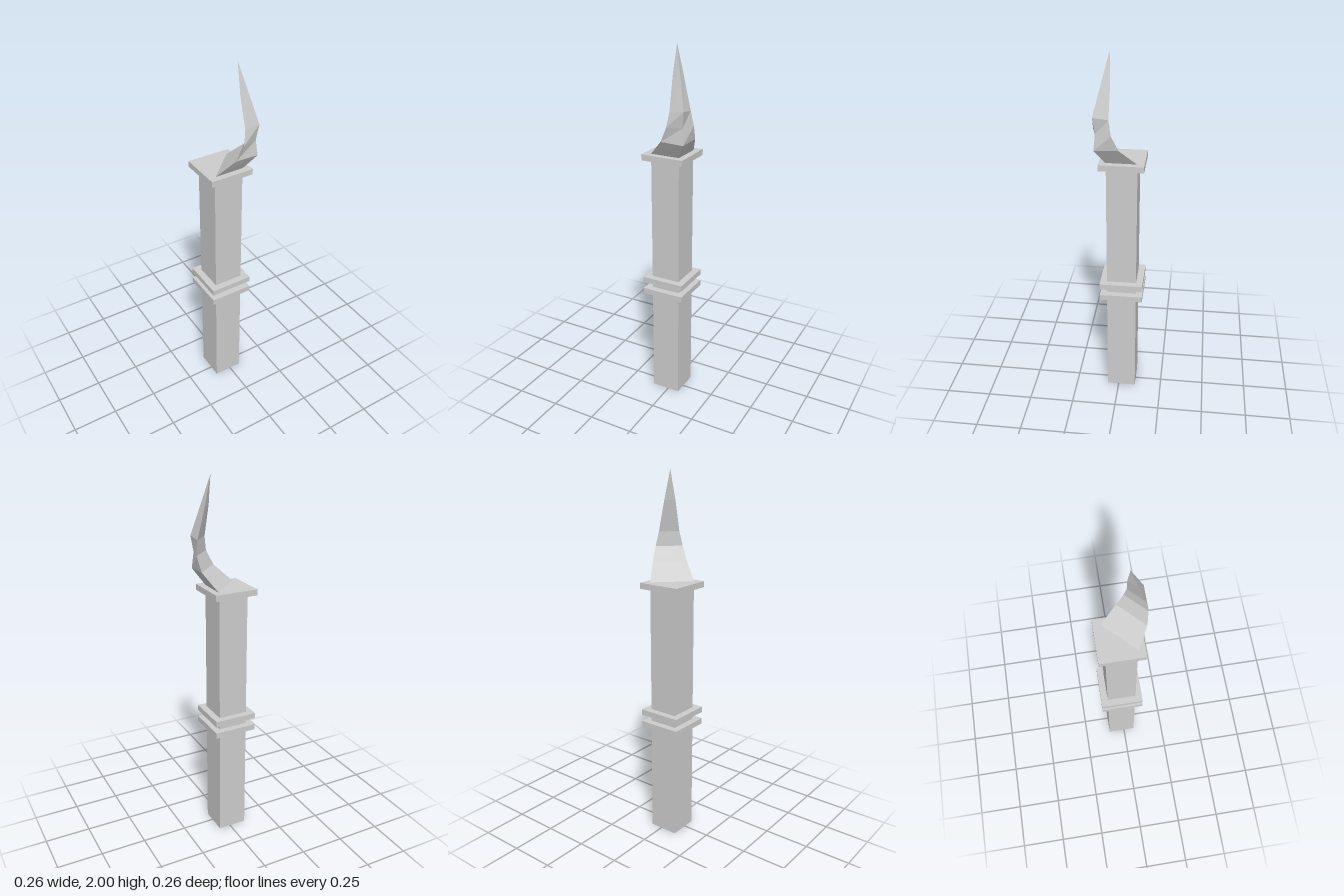
import * as THREE from 'three';

export function createModel() {
  const group = new THREE.Group();
  group.name = 'hornedPost';
  const stone = new THREE.MeshStandardMaterial({ color: 0xcccccc, side: THREE.DoubleSide });
  stone.name = 'grey stone';

  // Box with an open underside, spanning y0 to y1
  function openBox(name, width, depth, y0, y1) {
    const geo = new THREE.BoxGeometry(width, y1 - y0, depth);
    const index = Array.from(geo.index.array);
    index.splice(18, 6); // drop the bottom face
    geo.setIndex(index);
    geo.clearGroups();
    const mesh = new THREE.Mesh(geo, stone);
    mesh.name = name;
    mesh.position.set(-0.015, (y0 + y1) / 2, -0.016);
    group.add(mesh);
  }

  // Square hollow shaft and its three collars
  openBox('shaft', 0.162, 0.162, 0, 1.42);
  openBox('lowerCollar', 0.237, 0.235, 0.627, 0.659);
  openBox('upperCollar', 0.237, 0.235, 0.696, 0.728);
  openBox('topCap', 0.237, 0.235, 1.405, 1.437);

  // Curved horn, mirrored across the x = z diagonal.
  // Each row: wing (far, near), wing height, front ridge (x = z), ridge height
  const sections = [
    [0.069, -0.094, 1.437, 0.067, 1.437],
    [0.121, -0.008, 1.525, 0.118, 1.52],
    [0.131, 0.029, 1.603, 0.110, 1.605],
    [0.119, 0.042, 1.68, 0.121, 1.69],
    [0.078, 0.037, 1.845, 0.082, 1.845],
    [0.043, 0.043, 2, 0.043, 2],
  ].map(([far, near, y, ridge, ridgeY]) => [
    [far, y, near], [near, y, far], [ridge, ridgeY, ridge],
  ]);
  const positions = [];
  for (let s = 0; s < sections.length - 1; s++) {
    const a = sections[s], b = sections[s + 1];
    for (let i = 0; i < 3; i++) {
      const j = (i + 1) % 3;
      positions.push(...a[i], ...a[j], ...b[j]);
      if (s < sections.length - 2) positions.push(...a[i], ...b[j], ...b[i]);
    }
  }
  const hornGeo = new THREE.BufferGeometry();
  hornGeo.setAttribute('position', new THREE.Float32BufferAttribute(positions, 3));
  hornGeo.computeVertexNormals(); // unshared corners give flat facets
  const horn = new THREE.Mesh(hornGeo, stone);
  horn.name = 'horn';
  group.add(horn);

  return group;
}
